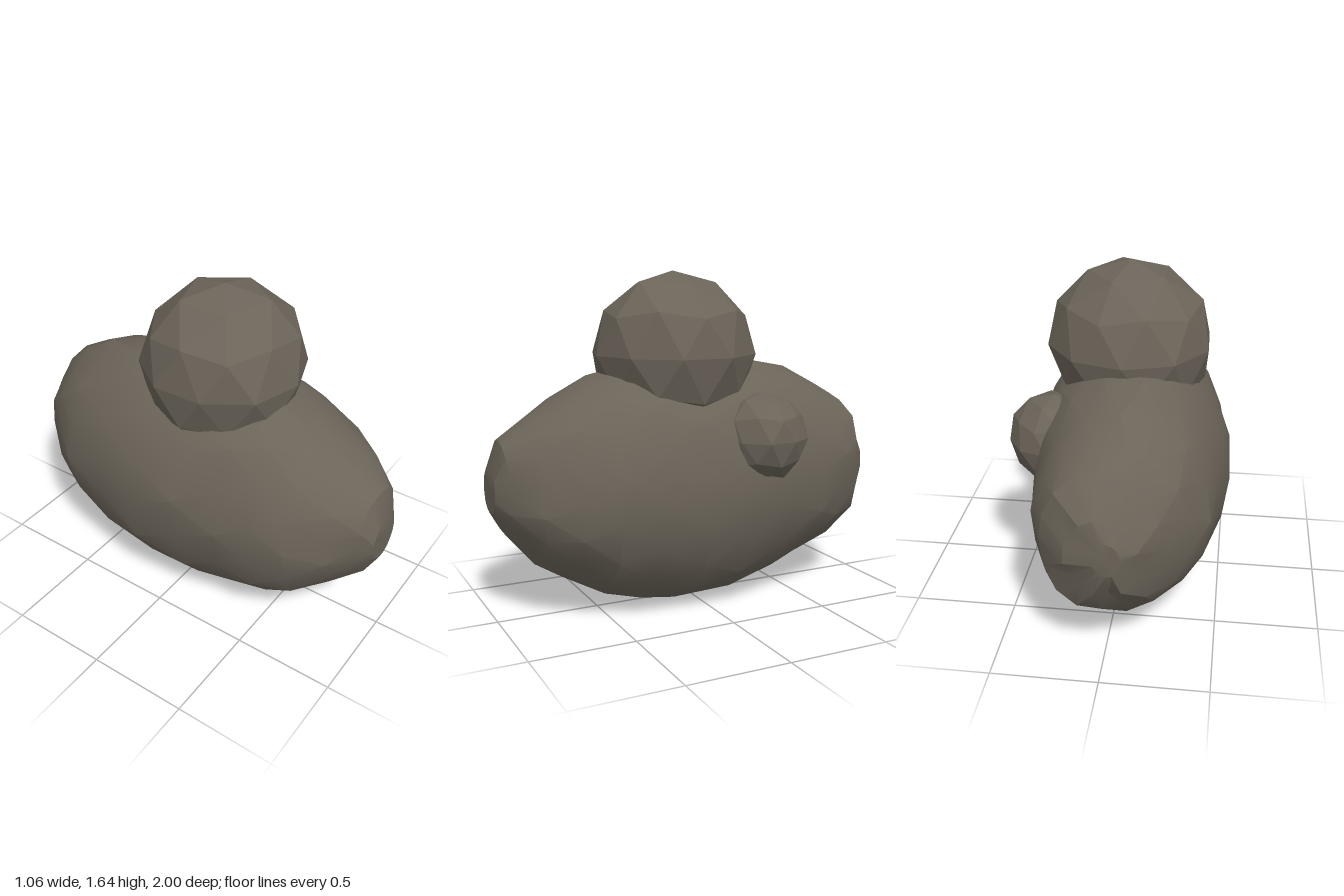
import * as THREE from 'three';
import { mergeVertices, toCreasedNormals } from 'three/addons/utils/BufferGeometryUtils.js';

// Repeatable noise in -1..1
function makeNoise(seed) {
  let s = seed;
  return () => {
    s = (s * 16807) % 2147483647;
    return (s / 2147483647) * 2 - 1;
  };
}

// Long boulder: elliptical sections [z, xMin, xMax, yMin, yMax], closed at both ends
function boulderGeometry(sections, sides, noise) {
  const points = [], index = [];
  sections.forEach(([z, x0, x1, y0, y1], k) => {
    const cx = (x0 + x1) / 2, cy = (y0 + y1) / 2;
    for (let i = 0; i < sides; i++) {
      const a = ((i + (k % 2) / 2) / sides) * Math.PI * 2;
      const r = 1.01 + noise() * 0.018;
      const inner = k > 0 && k < sections.length - 1;
      points.push(
        cx + Math.cos(a) * (x1 - x0) / 2 * r,
        Math.max(0, cy + Math.sin(a) * (y1 - y0) / 2 * r),
        z + (inner ? noise() * 0.02 : 0)
      );
    }
  });
  for (let k = 0; k < sections.length - 1; k++) {
    for (let i = 0; i < sides; i++) {
      const j = (i + 1) % sides;
      const a = k * sides + i, b = k * sides + j, c = a + sides, d = b + sides;
      if (k % 2) index.push(a, b, d, a, d, c);
      else index.push(a, b, c, b, d, c);
    }
  }
  // End caps
  [0, sections.length - 1].forEach((k) => {
    const [z, x0, x1, y0, y1] = sections[k];
    const centre = points.length / 3;
    points.push((x0 + x1) / 2, (y0 + y1) / 2, z);
    for (let i = 0; i < sides; i++) {
      const a = k * sides + i, b = k * sides + (i + 1) % sides;
      if (k) index.push(centre, a, b);
      else index.push(centre, b, a);
    }
  });
  const g = new THREE.BufferGeometry();
  g.setAttribute('position', new THREE.Float32BufferAttribute(points, 3));
  g.setIndex(index);
  return toCreasedNormals(g, 0.4);
}

// Round stone: subdivided icosahedron standing on a corner, slightly roughened
function stoneGeometry(radius, rough, noise) {
  let g = new THREE.IcosahedronGeometry(radius, 1);
  g.deleteAttribute('normal');
  g.deleteAttribute('uv');
  g = mergeVertices(g, 1e-3);
  g.rotateZ(-Math.atan(2 / (1 + Math.sqrt(5))));
  const p = g.attributes.position;
  for (let i = 0; i < p.count; i++) {
    const r = 1 + noise() * rough;
    p.setXYZ(i, p.getX(i) * r, p.getY(i) * r, p.getZ(i) * r);
  }
  return toCreasedNormals(g, 0.2);
}

export function createModel() {
  const group = new THREE.Group();
  group.name = 'boulderCluster';
  const stone = new THREE.MeshStandardMaterial({ color: 0x6b6459 });
  stone.name = 'greyBrownStone';

  const add = (name, geometry, x = 0, y = 0, z = 0) => {
    const mesh = new THREE.Mesh(geometry, stone);
    mesh.name = name;
    mesh.position.set(x, y, z);
    group.add(mesh);
  };

  // Large base boulder, back to front
  const sections = [
    [-1.0, -0.1, 0.02, 0.58, 0.74],
    [-0.96, -0.17, 0.15, 0.46, 0.84],
    [-0.86, -0.27, 0.28, 0.31, 0.99],
    [-0.73, -0.38, 0.33, 0.21, 1.07],
    [-0.58, -0.46, 0.36, 0.13, 1.14],
    [-0.38, -0.49, 0.40, 0.06, 1.20],
    [-0.15, -0.53, 0.45, 0.015, 1.22],
    [0.1, -0.52, 0.46, 0.0, 1.21],
    [0.32, -0.49, 0.45, 0.04, 1.19],
    [0.5, -0.47, 0.42, 0.09, 1.14],
    [0.66, -0.43, 0.36, 0.17, 1.06],
    [0.82, -0.32, 0.27, 0.28, 0.96],
    [0.94, -0.23, 0.13, 0.41, 0.87],
    [1.0, -0.17, 0.04, 0.52, 0.74],
  ];
  add('baseBoulder', boulderGeometry(sections, 16, makeNoise(41)));

  // Round stone resting on top
  add('topStone', stoneGeometry(0.405, 0.02, makeNoise(7)), -0.02, 1.245, 0.07);

  // Small stone set into the left flank
  add('sideStone', stoneGeometry(0.222, 0.03, makeNoise(19)), 0.31, 0.85, -0.25);

  return group;
}
